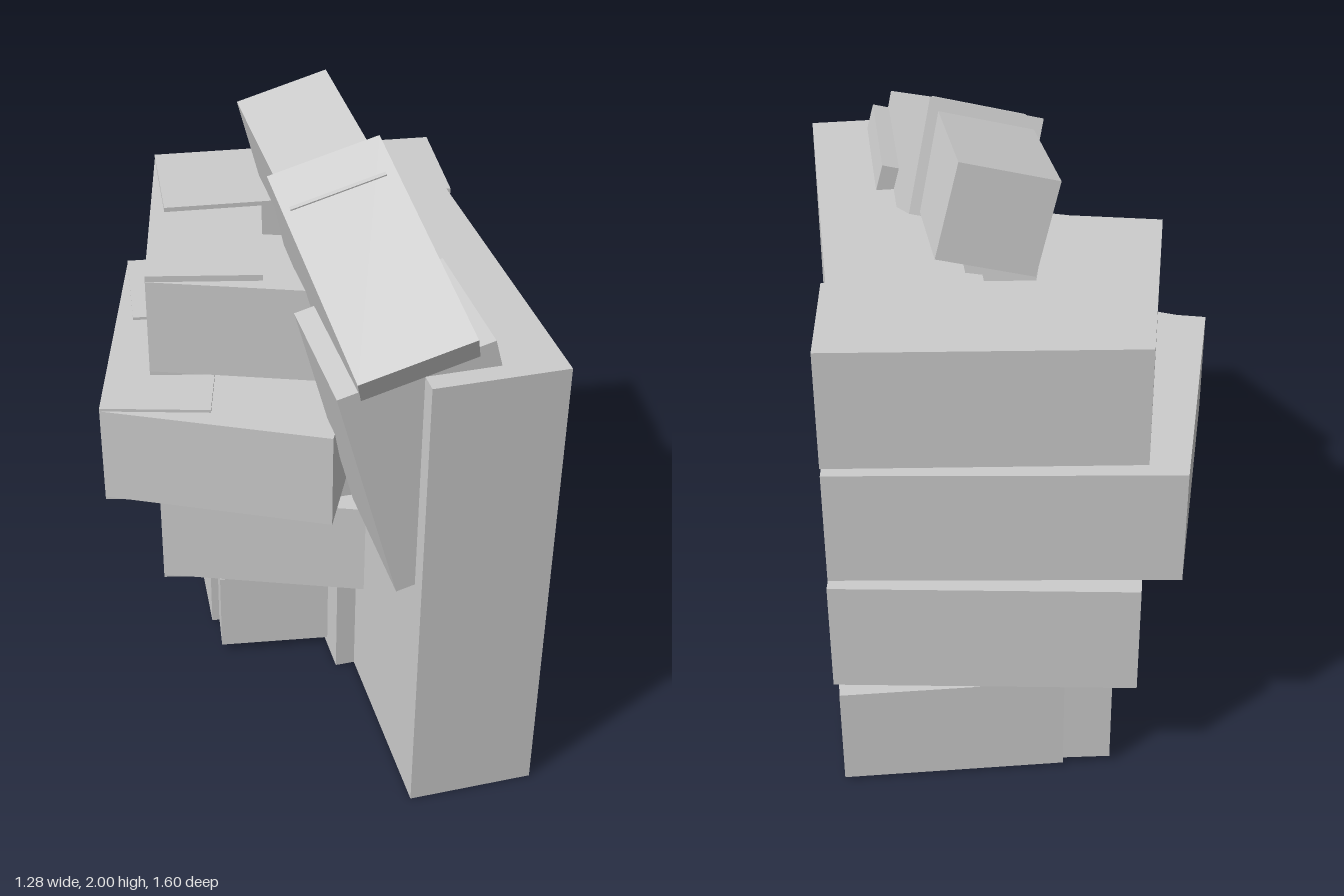
import * as THREE from 'three';

const skin = new THREE.MeshStandardMaterial({ color: 0xcccccc });
skin.name = 'light grey';

function box(name, size, pos) {
  const mesh = new THREE.Mesh(new THREE.BoxGeometry(...size), skin);
  mesh.name = name;
  mesh.position.set(...pos);
  return mesh;
}

// Upright block standing on the floor-plan edge p -> q (x, z), w thick, between heights y0 and y1
function segment(name, [px, pz], [qx, qz], w, y0, y1) {
  const dx = qx - px, dz = qz - pz, len = Math.hypot(dx, dz);
  const mesh = box(name, [len, y1 - y0, w], [
    (px + qx) / 2 + (dz / len) * w / 2,
    (y0 + y1) / 2,
    (pz + qz) / 2 - (dx / len) * w / 2,
  ]);
  mesh.rotation.y = Math.atan2(-dz, dx);
  return mesh;
}

// Each finger: three [start, end, thickness, bottom, top] blocks from knuckle to tip
const fingers = {
  indexFinger: [
    [[0.635, -0.67], [-0.29, -0.77], 0.38, 1.205, 1.59],
    [[-0.29, -0.77], [-0.465, -0.01], 0.355, 1.22, 1.575],
    [[-0.465, -0.01], [0.1, 0.2], 0.33, 1.235, 1.555],
  ],
  middleFinger: [
    [[0.635, -0.67], [-0.4, -0.8], 0.38, 0.8, 1.18],
    [[-0.4, -0.8], [-0.64, 0.06], 0.345, 0.82, 1.17],
    [[-0.64, 0.06], [0.02, 0.38], 0.33, 0.83, 1.16],
  ],
  ringFinger: [
    [[0.64, -0.665], [-0.28, -0.8], 0.38, 0.385, 0.765],
    [[-0.28, -0.8], [-0.455, -0.01], 0.355, 0.4, 0.755],
    [[-0.455, -0.01], [0.2, 0.24], 0.33, 0.41, 0.745],
  ],
  littleFinger: [
    [[0.625, -0.69], [-0.07, -0.715], 0.345, 0.01, 0.36],
    [[-0.22, -0.72], [-0.265, -0.17], 0.32, 0.025, 0.35],
    [[-0.26, -0.03], [0.15, 0.03], 0.3, 0.03, 0.33],
  ],
};

export function createModel() {
  const hand = new THREE.Group();
  hand.name = 'fist';

  // Palm slab with a thin pad on its inner side
  hand.add(box('palm', [0.405, 1.59, 1.4], [0.378, 0.795, 0.1]));
  hand.add(box('palmPad', [0.1, 1.5, 0.46], [0.16, 0.75, -0.09]));

  // Curled fingers
  const joints = ['Knuckle', 'Middle', 'Tip'];
  for (const [name, parts] of Object.entries(fingers)) {
    const finger = new THREE.Group();
    finger.name = name;
    parts.forEach((part, i) => finger.add(segment(name + joints[i], ...part)));
    hand.add(finger);
  }

  // Thumb, rolled sideways as a whole
  const thumb = new THREE.Group();
  thumb.name = 'thumb';
  thumb.rotation.z = THREE.MathUtils.degToRad(15);
  const lower = box('thumbLower', [0.35, 0.35, 0.764], [0.5675, 1.553, 0.35]);
  lower.rotation.x = 0.396;
  const tip = box('thumbTip', [0.295, 0.29, 0.605], [0.5635, 1.701, -0.117]);
  tip.rotation.x = 0.117;
  thumb.add(box('thumbBase', [0.466, 0.745, 0.465], [0.563, 1.148, 0.505]), lower, tip);
  hand.add(thumb);

  return hand;
}
